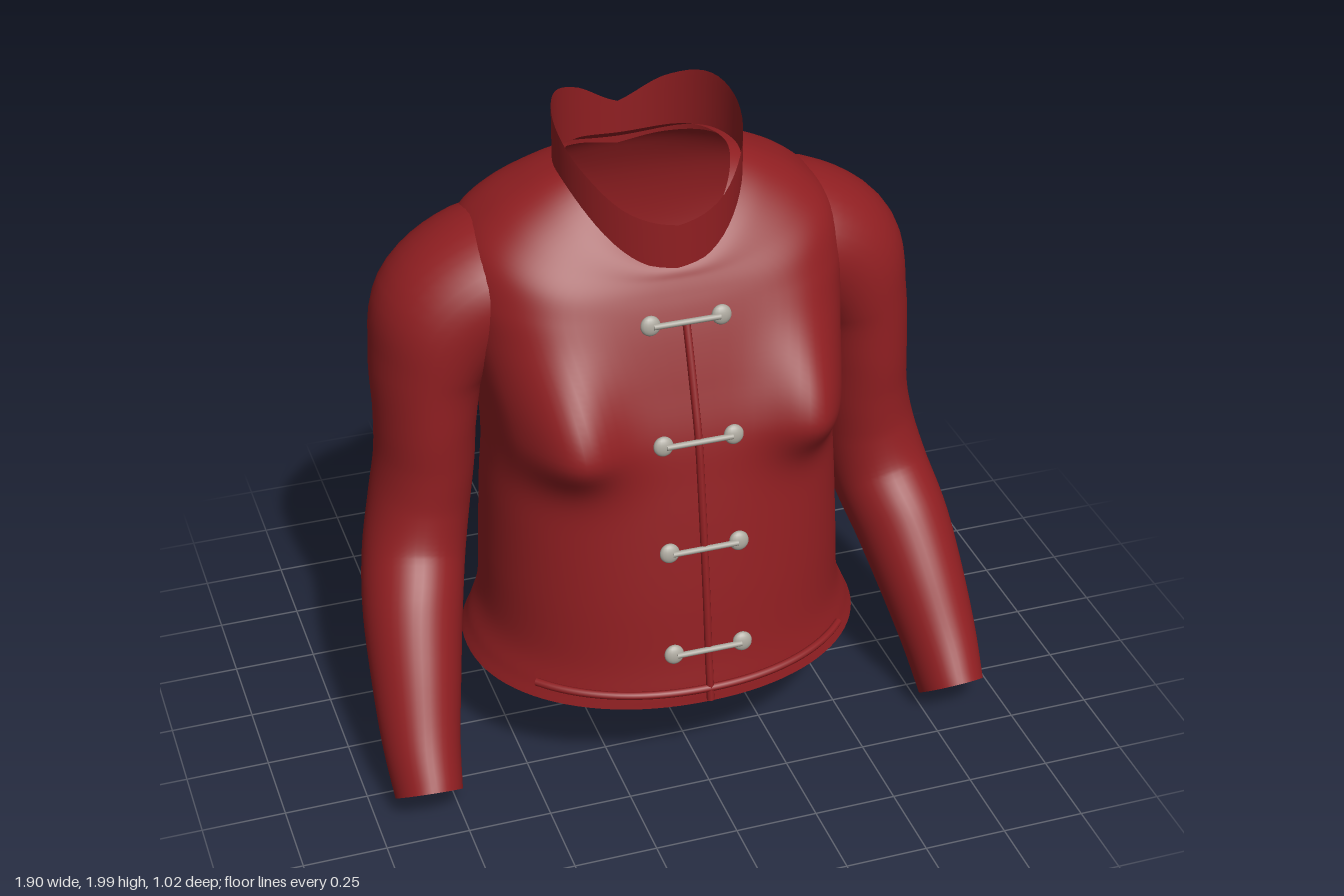
import * as THREE from 'three';

const red = new THREE.MeshStandardMaterial({ color: 0x8f1e21, side: THREE.DoubleSide });
red.name = 'red cloth';
const grey = new THREE.MeshStandardMaterial({ color: 0xaaa69c });
grey.name = 'grey fastener';

const V = (x, y, z) => new THREE.Vector3(x, y, z);
const curve = (pts) => new THREE.CatmullRomCurve3(pts, false, 'catmullrom', 0.5);

function mesh(name, geometry, material) {
  const m = new THREE.Mesh(geometry, material);
  m.name = name;
  return m;
}

// Smooth sheet closed around its girth; at(angle, t) gives each point
function loft(at, around, along) {
  const pos = [], index = [];
  for (let j = 0; j <= along; j++) {
    for (let i = 0; i < around; i++) {
      const p = at((i / around) * Math.PI * 2, j / along);
      pos.push(p.x, p.y, p.z);
      if (j === along) continue;
      const a = j * around + i, b = j * around + ((i + 1) % around);
      index.push(a, b, a + around, b, b + around, a + around);
    }
  }
  const g = new THREE.BufferGeometry();
  g.setAttribute('position', new THREE.Float32BufferAttribute(pos, 3));
  g.setIndex(index);
  g.computeVertexNormals();
  return g;
}

// Body rings: height at front, side, back | half width, front z, back z | z of the widest point, roundness
const rings = [
  [0.31, 0.31, 0.31, 0.612, 0.5, -0.495, 0, 0.95],
  [0.36, 0.36, 0.36, 0.59, 0.495, -0.485, 0, 0.95],
  [0.46, 0.46, 0.46, 0.555, 0.478, -0.473, 0, 0.92],
  [0.65, 0.65, 0.65, 0.545, 0.455, -0.458, 0, 0.9],
  [0.85, 0.85, 0.85, 0.535, 0.425, -0.445, 0, 0.88],
  [1.0, 1.0, 1.0, 0.525, 0.4, -0.435, 0, 0.87],
  [1.15, 1.15, 1.15, 0.53, 0.372, -0.432, -0.02, 0.85],
  [1.3, 1.3, 1.3, 0.55, 0.323, -0.447, -0.06, 0.82],
  [1.42, 1.42, 1.42, 0.57, 0.28, -0.46, -0.11, 0.77],
  [1.5, 1.53, 1.52, 0.58, 0.248, -0.458, -0.14, 0.74],
  [1.55, 1.65, 1.61, 0.55, 0.225, -0.443, -0.15, 0.74],
  [1.585, 1.735, 1.69, 0.465, 0.207, -0.415, -0.145, 0.8],
  [1.615, 1.8, 1.755, 0.35, 0.19, -0.38, -0.115, 0.92],
  [1.65, 1.845, 1.8, 0.237, 0.15, -0.325, -0.088, 1],
];
const heights = curve(rings.map((r) => V(r[0], r[1], r[2])));
const girths = curve(rings.map((r) => V(r[3], r[4], r[5])));
const shapes = curve(rings.map((r) => V(r[6], r[7], 0)));

const bell = (d, s) => Math.exp(-0.5 * (d / s) ** 2);

function bodyPoint(a, t) {
  const h = heights.getPoint(t), g = girths.getPoint(t), shape = shapes.getPoint(t);
  const s = Math.sin(a), c = Math.cos(a), mid = shape.x;
  const x = g.x * Math.sign(s) * Math.abs(s) ** shape.y;
  // the back stays high around the neck and drops only near the centre
  const y = c > 0 ? h.y + (h.x - h.y) * c ** 2 : h.y + (h.z - h.y) * c ** 4;
  let z = mid + Math.abs(c) ** shape.y * (c > 0 ? g.y - mid : g.z - mid);
  if (c > 0) {
    // chest fullness, steeper underneath
    const dy = y - 1.16;
    z += 0.132 * bell(Math.abs(x) - 0.385, 0.105) * bell(dy, dy > 0 ? 0.175 : 0.09) * Math.min(1, c * 3);
  } else {
    // small hollow between the shoulder blades
    z += 0.045 * bell(x, 0.035) * bell(y - 1.14, 0.07);
  }
  return V(x, y, z);
}

// Ring parameter for a height on the centre front
function paramAt(y) {
  let lo = 0, hi = 1;
  for (let i = 0; i < 30; i++) {
    const m = (lo + hi) / 2;
    if (heights.getPoint(m).x < y) lo = m; else hi = m;
  }
  return lo;
}

// Sleeve rings: centre x, y, z | radius across, radius in depth
const sleeveRings = [
  [0.34, 1.53, -0.15, 0.18, 0.245],
  [0.48, 1.495, -0.155, 0.205, 0.257],
  [0.6, 1.4, -0.152, 0.215, 0.245],
  [0.66, 1.26, -0.143, 0.17, 0.228],
  [0.68, 1.1, -0.12, 0.15, 0.2],
  [0.69, 0.95, -0.115, 0.147, 0.186],
  [0.715, 0.8, -0.105, 0.15, 0.18],
  [0.75, 0.65, -0.055, 0.153, 0.172],
  [0.785, 0.52, 0.05, 0.148, 0.165],
  [0.81, 0.38, 0.16, 0.135, 0.15],
  [0.832, 0.22, 0.28, 0.117, 0.132],
  [0.84, 0.085, 0.385, 0.1, 0.122],
];
const sleevePath = curve(sleeveRings.map((r) => V(r[0], r[1], r[2])));
const sleeveSize = curve(sleeveRings.map((r) => V(r[3], r[4], 0)));

function sleevePoint(a, t, scale = 1) {
  const along = sleevePath.getTangent(t), size = sleeveSize.getPoint(t);
  const deep = V(0, 0, 1).addScaledVector(along, -along.z).normalize();
  const across = deep.clone().cross(along);
  return sleevePath.getPoint(t)
    .addScaledVector(across, Math.cos(a) * size.x * scale)
    .addScaledVector(deep, Math.sin(a) * size.y * scale);
}

function makeSleeve(side) {
  const sleeve = new THREE.Group();
  sleeve.name = side > 0 ? 'leftSleeve' : 'rightSleeve';
  sleeve.add(mesh('sleeveOuter', loft((a, t) => sleevePoint(a, 0.05 + 0.95 * t), 40, 55), red));
  // turned-in cuff edge and lining
  sleeve.add(mesh('cuffEdge', loft((a, t) => sleevePoint(a, 1 - 0.015 * t, 1 - 0.27 * t), 32, 2), red));
  sleeve.add(mesh('cuffLining', loft((a, t) => sleevePoint(a, 0.985 - 0.16 * t, 0.73), 32, 5), red));
  sleeve.scale.x = side;
  return sleeve;
}

// Collar edge heights every 30 degrees from centre front to centre back
const edge = (ys) => new THREE.SplineCurve(ys.map((y, i) => new THREE.Vector2(i, y)));
const collarTop = edge([1.75, 1.79, 1.885, 1.965, 2.0, 1.96, 1.88]);
const collarBase = edge([1.615, 1.65, 1.75, 1.815, 1.812, 1.78, 1.745]);

function collarPoint(a, t) {
  const k = a <= Math.PI ? a / Math.PI : 2 - a / Math.PI;
  const low = collarBase.getPoint(k).y, high = collarTop.getPoint(k).y;
  return V(0.272 * Math.sin(a), low + (high - low) * t, -0.088 + 0.28 * Math.cos(a));
}

// Piping laid on the body between two angles at one height
function hemPiping(name, from, to) {
  const t = paramAt(0.36), pts = [];
  for (let i = 0; i <= 20; i++) {
    const p = bodyPoint(from + ((to - from) * i) / 20, t);
    pts.push(p.multiply(V(1.012, 1, 1.012)));
  }
  return mesh(name, new THREE.TubeGeometry(curve(pts), 60, 0.012, 8), red);
}

// Bar with a rounded knob at each end
function makeFastener(y) {
  const f = new THREE.Group();
  f.name = 'fastener';
  f.position.copy(bodyPoint(0, paramAt(y)));
  const bar = mesh('bar', new THREE.CylinderGeometry(0.009, 0.009, 0.2, 10), grey);
  bar.rotation.z = Math.PI / 2;
  bar.position.z = 0.016;
  f.add(bar);
  for (const side of [-1, 1]) {
    const knob = mesh('knob', new THREE.SphereGeometry(0.03, 16, 12), grey);
    knob.scale.z = 0.5;
    knob.rotation.x = -0.2;
    knob.position.set(side * 0.106, 0, 0.006);
    f.add(knob);
  }
  return f;
}

export function createModel() {
  const jacket = new THREE.Group();
  jacket.name = 'jacket';
  jacket.add(mesh('body', loft(bodyPoint, 96, 90), red));
  jacket.add(mesh('collar', loft(collarPoint, 64, 4), red));
  for (const side of [1, -1]) jacket.add(makeSleeve(side));

  // centre front piping
  const front = [];
  for (let i = 0; i <= 16; i++) front.push(bodyPoint(0, paramAt(0.32 + (1.16 * i) / 16)).add(V(0, 0, 0.006)));
  jacket.add(mesh('frontPiping', new THREE.TubeGeometry(curve(front), 60, 0.012, 8), red));

  jacket.add(hemPiping('frontHemPiping', -0.92, 0.92));
  jacket.add(hemPiping('backHemPiping', Math.PI - 0.88, Math.PI + 0.88));
  for (const y of [1.483, 1.152, 0.822, 0.492]) jacket.add(makeFastener(y));
  return jacket;
}
